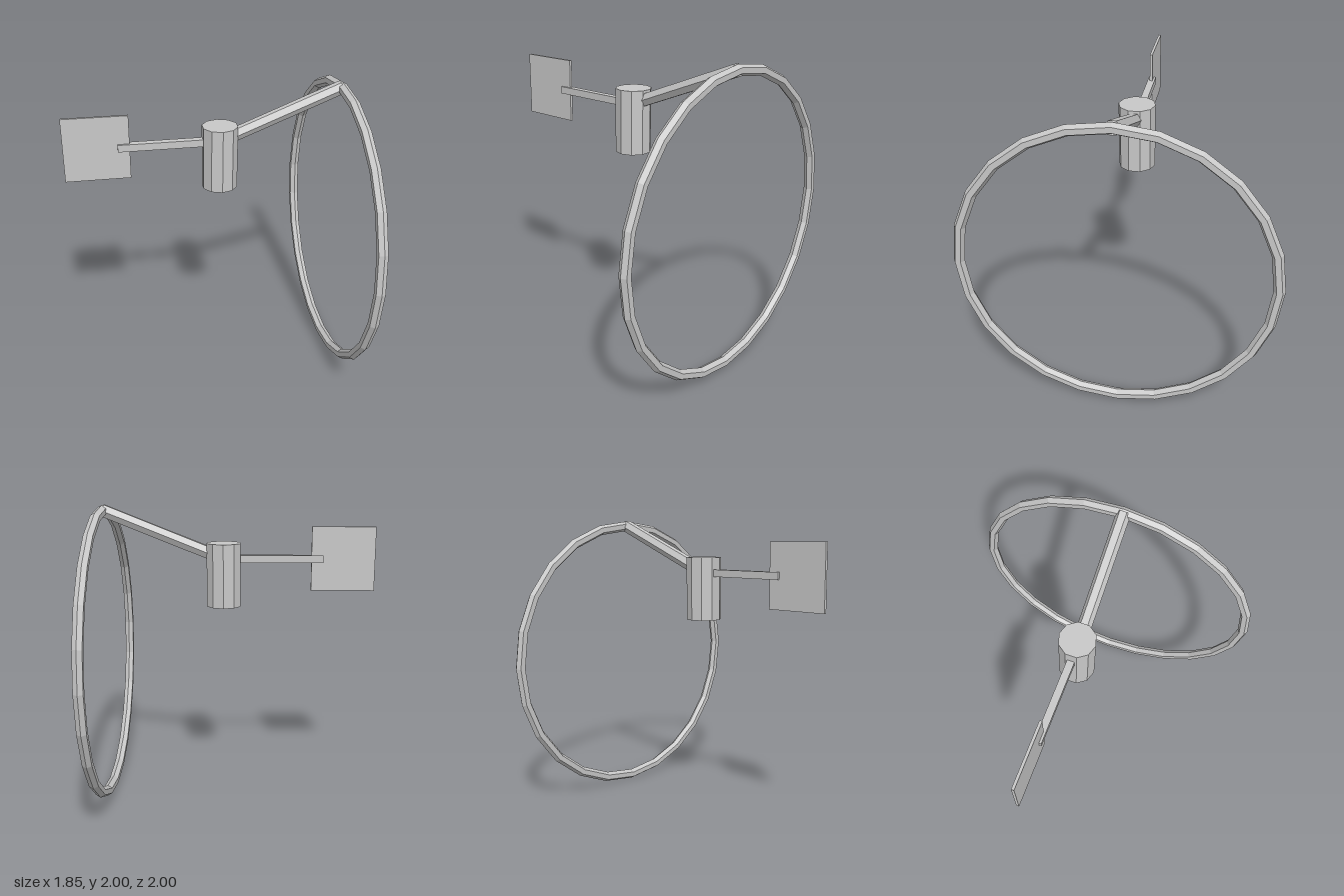
import * as THREE from 'three';

export function createModel() {
  const model = new THREE.Group();
  const greyMetal = new THREE.MeshStandardMaterial({ color: 0xc8c8c8 });

  // Facets are baked into the normals, so the material keeps only its colour
  function addPart(name, geometry, x, y, z = 0) {
    const flat = geometry.toNonIndexed();
    flat.computeVertexNormals();
    const mesh = new THREE.Mesh(flat, greyMetal);
    mesh.name = name;
    mesh.position.set(x, y, z);
    model.add(mesh);
    return mesh;
  }

  const hub = new THREE.Vector2(0.087, 1.645); // where both arms meet
  const ringTop = new THREE.Vector2(0.89, 1.965); // centre of the ring tube at its top

  // Large hoop standing in the YZ plane, hexagonal section
  const ring = new THREE.TorusGeometry(0.965, 0.035, 6, 24);
  ring.rotateY(Math.PI / 2);
  addPart('ring', ring, ringTop.x, 1);

  // Ten-sided body
  addPart('body', new THREE.CylinderGeometry(0.119, 0.119, 0.425, 10), hub.x, 1.5375);

  // Sloping hexagonal strut from the body to the top of the ring
  const span = ringTop.clone().sub(hub);
  const strut = new THREE.CylinderGeometry(0.045, 0.045, span.length(), 6);
  strut.rotateZ(span.angle() - Math.PI / 2);
  addPart('strut', strut, (hub.x + ringTop.x) / 2, (hub.y + ringTop.y) / 2);

  // Square boom running back to the vane
  const boomEnd = -0.578;
  addPart('boom', new THREE.BoxGeometry(hub.x - boomEnd, 0.048, 0.048), (hub.x + boomEnd) / 2, hub.y);

  // Thin square vane
  addPart('vane', new THREE.BoxGeometry(0.425, 0.428, 0.018), -0.713, 1.645);

  return model;
}
